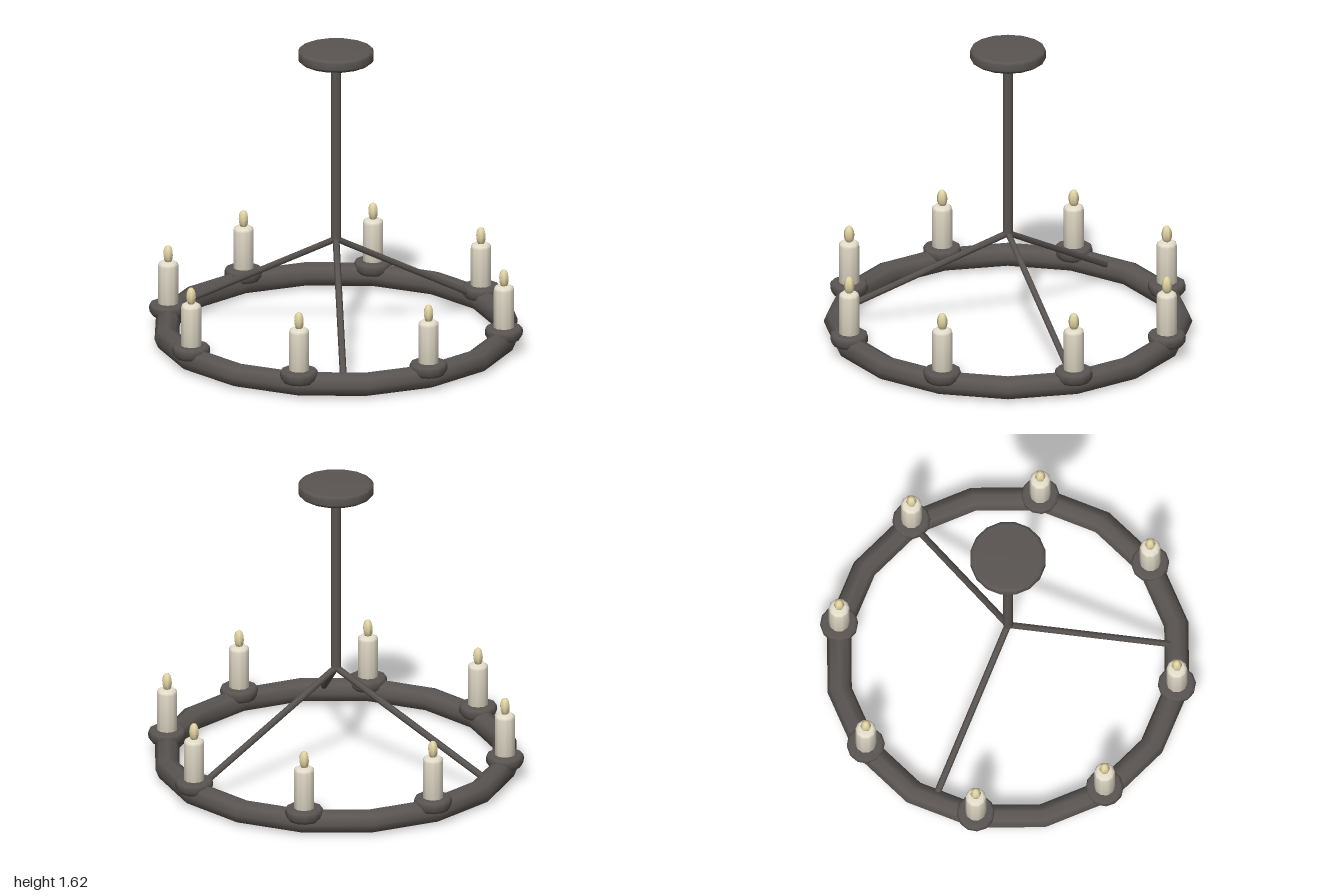
import * as THREE from 'three';

const iron = new THREE.MeshStandardMaterial({ color: 0x5a5552 });
const wax = new THREE.MeshStandardMaterial({ color: 0xe6dfcc });
const glow = new THREE.MeshStandardMaterial({ color: 0xe3d5a4 });

function part(name, geometry, material, parent) {
  const mesh = new THREE.Mesh(geometry, material);
  mesh.name = name;
  parent.add(mesh);
  return mesh;
}

// Lathe from [radius, y] pairs, bottom to top
function lathe(points, segments) {
  return new THREE.LatheGeometry(points.map(([r, y]) => new THREE.Vector2(r, y)), segments);
}

// Round bar between two points
function bar(name, from, to, radius, segments, parent) {
  const dir = to.clone().sub(from);
  const mesh = part(name, new THREE.CylinderGeometry(radius, radius, dir.length(), segments), iron, parent);
  mesh.position.copy(from).add(to).multiplyScalar(0.5);
  mesh.quaternion.setFromUnitVectors(new THREE.Vector3(0, 1, 0), dir.normalize());
  return mesh;
}

export function createModel() {
  const model = new THREE.Group();
  model.name = 'candleChandelier';

  // Sixteen-sided hoop
  const ring = part('ring', new THREE.TorusGeometry(0.9, 0.065, 8, 16), iron, model);
  ring.rotation.x = -Math.PI / 2;
  ring.position.y = 0.065;

  // Ceiling plate and hanging rod
  part('ceilingPlate', lathe([
    [0, 1.545], [0.18, 1.545], [0.195, 1.555], [0.2, 1.565],
    [0.2, 1.597], [0.195, 1.609], [0.18, 1.615], [0, 1.615],
  ], 16), iron, model);
  bar('rod', new THREE.Vector3(0, 0.57, 0), new THREE.Vector3(0, 1.56, 0), 0.027, 8, model);

  // Three sloping arms
  const hub = new THREE.Vector3(0, 0.565, 0);
  for (let i = 0; i < 3; i++) {
    const a = (i * Math.PI * 2) / 3;
    const end = new THREE.Vector3(Math.cos(a) * 0.85, 0.1, Math.sin(a) * 0.85);
    bar('arm', hub, end, 0.018, 6, model);
  }

  // Eight candles in drip cups
  const cupGeo = lathe([
    [0, 0.072], [0.06, 0.072], [0.085, 0.08], [0.098, 0.1],
    [0.1, 0.125], [0.096, 0.139], [0.085, 0.145], [0, 0.145],
  ], 12);
  const candleGeo = lathe([
    [0, 0.13], [0.055, 0.13], [0.055, 0.35], [0.05, 0.364], [0.038, 0.373], [0, 0.373],
  ], 10);
  const flameGeo = new THREE.SphereGeometry(1, 6, 8);
  for (let i = 0; i < 8; i++) {
    const a = (i * Math.PI) / 4;
    const holder = new THREE.Group();
    holder.name = 'candleHolder';
    holder.position.set(Math.cos(a) * 0.9, 0, Math.sin(a) * 0.9);
    part('dripCup', cupGeo, iron, holder);
    part('candle', candleGeo, wax, holder);
    const flame = part('flame', flameGeo, glow, holder);
    flame.scale.set(0.028, 0.05, 0.028);
    flame.position.y = 0.412;
    model.add(holder);
  }
  return model;
}
